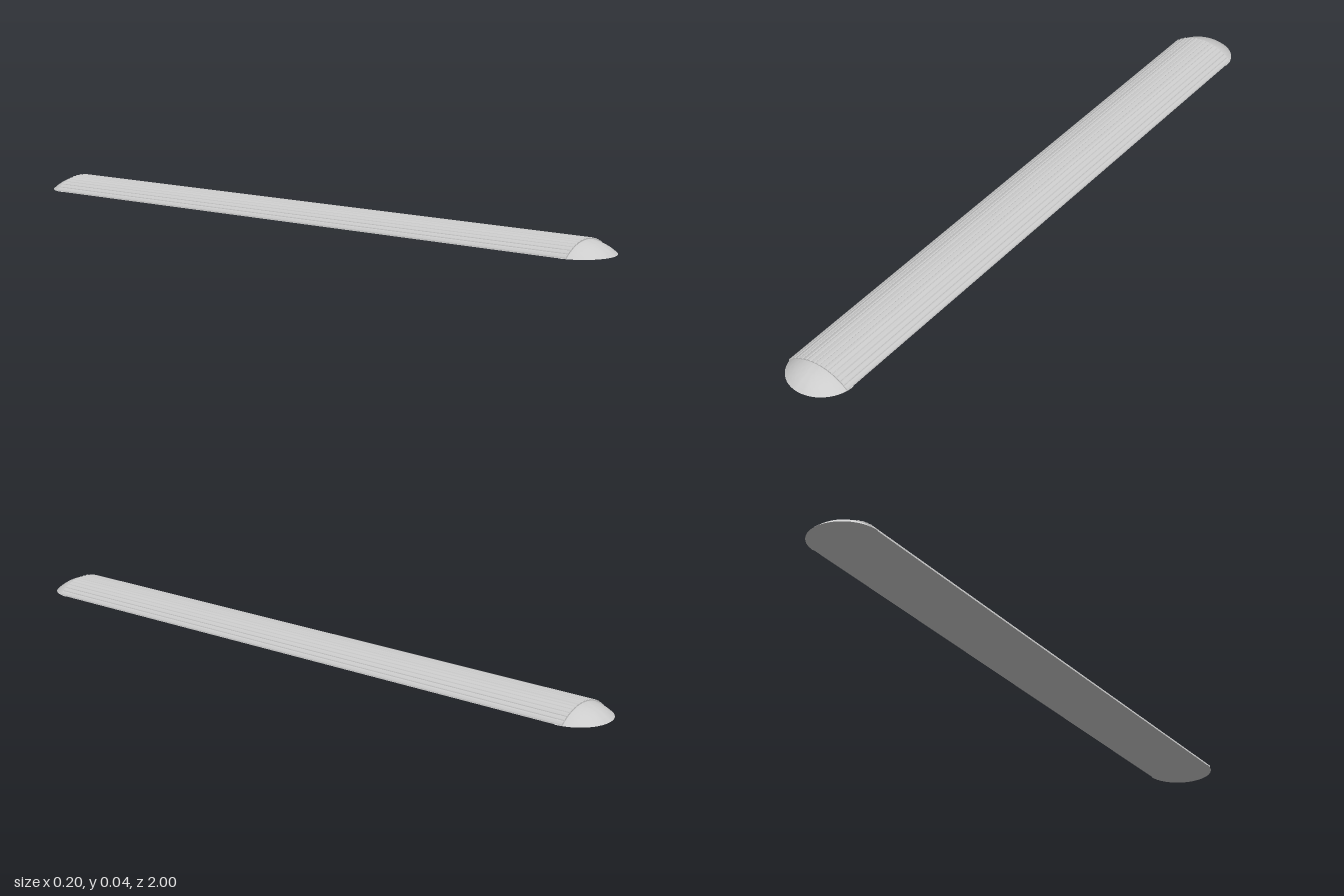
import * as THREE from 'three';
import { toCreasedNormals } from 'three/addons/utils/BufferGeometryUtils.js';

const R = 0.145;       // radius of the domed top
const DROP = 0.105;    // depth of the arc centre below the floor
const CAP_R = 0.1;     // radius of the rounded ends
const CAP_Z = 0.9;     // centre of the rounded ends
const BODY_Z = 0.923;  // half length of the ribbed part
const RIBS = 15;

export function createModel() {
  const group = new THREE.Group();
  const material = new THREE.MeshStandardMaterial({ color: 0xcccccc, side: THREE.DoubleSide });

  // Ribbed body: a shallow arc with small rounded ridges, flat underneath
  const half = Math.asin(0.098 / R);
  const steps = RIBS * 10;
  const shape = new THREE.Shape();
  shape.moveTo(-0.098, 0);
  shape.lineTo(0.098, 0);
  for (let i = 0; i <= steps; i++) {
    const t = 1 - (2 * i) / steps;
    const ridge = Math.sqrt(Math.abs(Math.cos((t * RIBS * Math.PI) / 2)));
    const r = R - 0.0005 + 0.003 * ridge;
    const a = t * half;
    shape.lineTo(Math.max(-0.0985, Math.min(0.0985, r * Math.sin(a))), r * Math.cos(a) - DROP);
  }
  shape.closePath();
  const bodyGeo = new THREE.ExtrudeGeometry(shape, { depth: 2 * BODY_Z, bevelEnabled: false });
  bodyGeo.translate(0, 0, -BODY_Z);
  const body = new THREE.Mesh(toCreasedNormals(bodyGeo, 0.6), material);
  body.name = 'ribbedBody';
  group.add(body);

  // Smooth rounded ends: the same arc turned half way round
  const profile = [new THREE.Vector2(0, 0)];
  const capHalf = Math.asin(CAP_R / R);
  for (let i = 0; i <= 16; i++) {
    const a = capHalf * (1 - i / 16);
    profile.push(new THREE.Vector2(R * Math.sin(a), Math.max(0, R * Math.cos(a) - DROP)));
  }
  const capGeo = toCreasedNormals(new THREE.LatheGeometry(profile, 32, -Math.PI / 2, Math.PI), 0.5);
  for (const [name, side] of [['frontEnd', 1], ['backEnd', -1]]) {
    const cap = new THREE.Mesh(capGeo, material);
    cap.name = name;
    cap.position.z = side * CAP_Z;
    cap.rotation.y = side > 0 ? 0 : Math.PI;
    group.add(cap);
  }
  return group;
}
